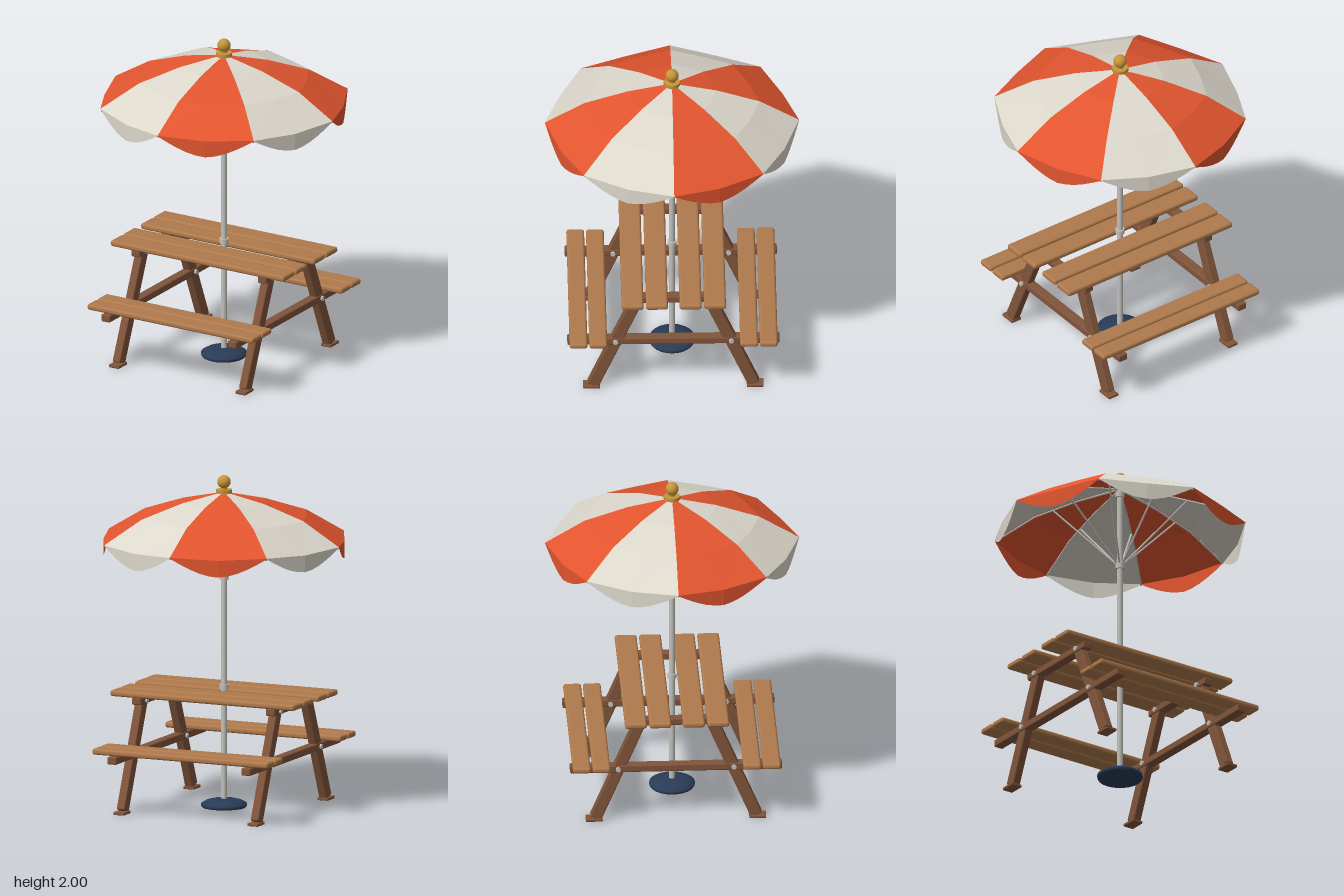
import * as THREE from 'three';
import { RoundedBoxGeometry } from 'three/addons/geometries/RoundedBoxGeometry.js';

const material = (name, color, extra = {}) =>
  Object.assign(new THREE.MeshStandardMaterial({ color, ...extra }), { name });

export function createModel() {
  const cloth = { side: THREE.DoubleSide, flatShading: true };
  const plankWood = material('plank wood', 0xb07a4c);
  const frameWood = material('frame wood', 0x80543a);
  const metal = material('pale metal', 0xc4c1bb);
  const gold = material('gold', 0xc8963a);
  const navy = material('navy base', 0x2a3b56);
  const cream = material('cream cloth', 0xdcd7cb, cloth);
  const red = material('red cloth', 0xe2552f, cloth);

  const model = new THREE.Group();
  model.name = 'picnicTableWithParasol';

  const add = (name, geometry, mat, x = 0, y = 0, z = 0) => {
    const mesh = new THREE.Mesh(geometry, mat);
    mesh.name = name;
    mesh.position.set(x, y, z);
    model.add(mesh);
    return mesh;
  };
  const board = (name, mat, w, h, d, x, y, z, r = 0.008) =>
    add(name, new RoundedBoxGeometry(w, h, d, 2, r), mat, x, y, z);
  // Round bar between two points
  const bar = (name, a, b, r, mat, sides = 8) => {
    const dir = b.clone().sub(a);
    const mesh = add(name, new THREE.CylinderGeometry(r, r, dir.length(), sides), mat);
    mesh.position.copy(a).add(b).multiplyScalar(0.5);
    mesh.quaternion.setFromUnitVectors(new THREE.Vector3(0, 1, 0), dir.normalize());
    return mesh;
  };

  // Table top and bench planks
  for (const s of [1, -1]) {
    for (const z of [0.1, 0.245]) board('tabletopPlank', plankWood, 1.21, 0.036, 0.13, 0, 0.688, s * z, 0.014);
    for (const z of [0.448, 0.565]) board('benchPlank', plankWood, 1.155, 0.036, 0.106, 0, 0.387, s * z, 0.014);
  }

  // End frames: cleat, bench beam, splayed legs, feet and bolts
  for (const x of [-0.44, 0.44]) {
    board('tabletopCleat', frameWood, 0.06, 0.043, 0.58, x, 0.647, 0);
    board('benchBeam', frameWood, 0.06, 0.045, 1.26, x, 0.343, 0);
    for (const s of [1, -1]) {
      const top = new THREE.Vector3(x, 0.655, s * 0.208);
      const foot = new THREE.Vector3(x, 0.018, s * 0.478);
      const leg = board('leg', frameWood, 0.052, top.distanceTo(foot), 0.072, x, 0.3365, s * 0.343);
      leg.rotation.x = Math.atan2(top.z - foot.z, top.y - foot.y);
      board('foot', frameWood, 0.07, 0.018, 0.1, x, 0.009, s * 0.486, 0.005);
      for (const [y, z] of [[0.645, 0.213], [0.343, 0.344]]) {
        bar('bolt', new THREE.Vector3(x - 0.042, y, s * z), new THREE.Vector3(x + 0.042, y, s * z), 0.015, metal, 10);
      }
    }
  }

  // Weighted base
  const base = [[0, 0], [0.13, 0], [0.136, 0.008], [0.136, 0.022], [0.11, 0.037], [0.07, 0.048], [0, 0.052]];
  add('parasolBase', new THREE.LatheGeometry(base.map(p => new THREE.Vector2(...p)), 24), navy);

  // Pole, collars and crown
  const tube = (name, r, y0, y1, mat, sides = 16) =>
    add(name, new THREE.CylinderGeometry(r, r, y1 - y0, sides), mat, 0, (y0 + y1) / 2, 0);
  tube('pole', 0.018, 0.03, 1.9, metal);
  tube('tableCollar', 0.028, 0.712, 0.74, metal);
  tube('strutCollar', 0.028, 1.372, 1.42, metal);
  tube('ribHub', 0.028, 1.84, 1.875, metal);
  tube('crownDisc', 0.05, 1.893, 1.915, gold, 8);
  tube('finialNeck', 0.02, 1.91, 1.935, gold, 8);
  add('finialBall', new THREE.SphereGeometry(0.04, 12, 8), gold, 0, 1.96, 0);

  // Canopy profile along a rib: radius, height, mid-panel sag
  const profile = [[0, 1.9, 0], [0.265, 1.845, 0.002], [0.52, 1.762, 0.005], [0.755, 1.622, 0.012]];
  const polar = (r, y, a) => new THREE.Vector3(r * Math.cos(a), y, r * Math.sin(a));
  const sector = Math.PI / 4;
  // Point on a row; t runs 0..1 across a panel bent once at its middle
  const panelPoint = ([r, y, sag], k, t) => {
    const mid = polar(r * 0.95, y - sag, (k + 0.5) * sector);
    const end = polar(r, y, (t < 0.5 ? k : k + 1) * sector);
    return end.lerp(mid, 1 - Math.abs(2 * t - 1));
  };
  // Surface through equal-length rows of points
  const skin = rows => {
    const n = rows[0].length, index = [];
    for (let j = 0; j < rows.length - 1; j++) {
      for (let i = 0; i < n - 1; i++) {
        const a = j * n + i, b = a + n;
        index.push(a, b + 1, b, a, a + 1, b + 1);
      }
    }
    const geometry = new THREE.BufferGeometry().setFromPoints(rows.flat());
    geometry.setIndex(index);
    geometry.computeVertexNormals();
    return geometry;
  };

  const steps = n => Array.from({ length: n + 1 }, (_, i) => i / n);
  for (let k = 0; k < 8; k++) {
    const mat = k % 2 ? red : cream;
    add('canopyPanel', skin(profile.map(row => steps(2).map(t => panelPoint(row, k, t)))), mat);

    // Scalloped valance hanging from the rim
    const rim = steps(10).map(t => panelPoint(profile[3], k, t));
    const hem = rim.map((p, i) => p.clone().setY(p.y - 0.004 - 0.097 * Math.sin(Math.PI * i / 10)));
    add('valance', skin([rim, hem]), mat);

    // Rib under the seam and its strut
    const a = k * sector;
    const rib = profile.map(([r, y]) => polar(Math.max(r - 0.004, 0.02), y - 0.009, a));
    for (let j = 0; j < 3; j++) bar('rib', rib[j], rib[j + 1], 0.006, metal, 6);
    bar('strut', polar(0.022, 1.405, a), polar(0.4, 1.785, a), 0.006, metal, 6);
  }
  return model;
}
